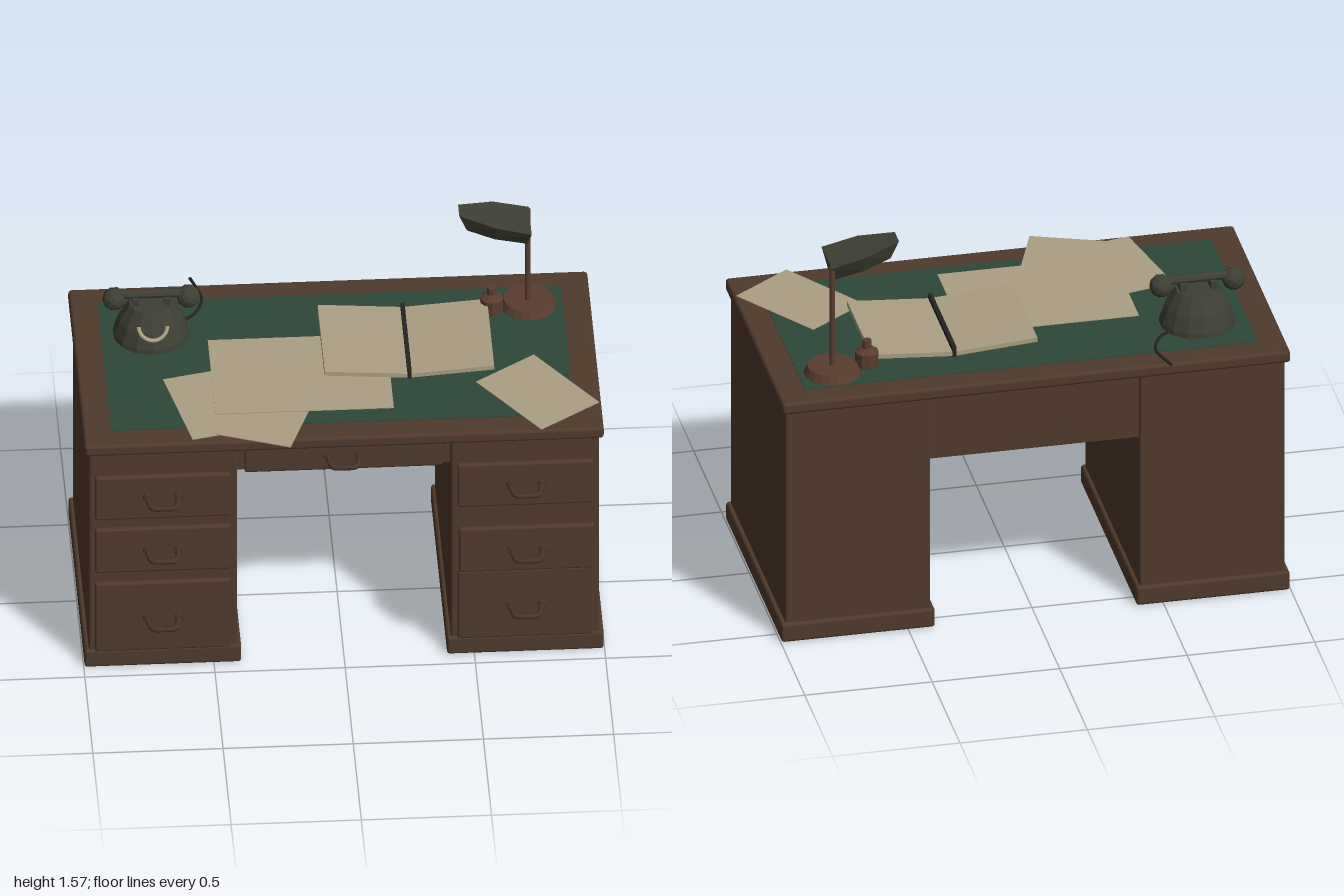
import * as THREE from 'three';
import { RoundedBoxGeometry } from 'three/addons/geometries/RoundedBoxGeometry.js';
import { ConvexGeometry } from 'three/addons/geometries/ConvexGeometry.js';

const material = (name, color, extra = {}) => {
  const m = new THREE.MeshStandardMaterial({ color, ...extra });
  m.name = name;
  return m;
};

export function createModel() {
  const model = new THREE.Group();
  model.name = 'writingDesk';

  const wood = material('wood', 0x503a2c);
  const agedWood = material('agedWood', 0x434438);
  const leather = material('greenLeather', 0x2c4838);
  const paper = material('paper', 0xab9f82);
  const bronze = material('bronze', 0x46352a);
  const copper = material('copper', 0x5a3d2f);
  const enamel = material('oliveEnamel', 0x3e3f34);
  const black = material('black', 0x25241f);
  const cream = material('cream', 0xb0a587);

  const add = (name, geometry, mat, x = 0, y = 0, z = 0, parent = model) => {
    const mesh = new THREE.Mesh(geometry, mat);
    mesh.name = name;
    mesh.position.set(x, y, z);
    parent.add(mesh);
    return mesh;
  };
  // Box given by its extents, with softened edges when r > 0
  const box = (name, mat, [x0, x1], [y0, y1], [z0, z1], r = 0, parent = model) => {
    const size = [x1 - x0, y1 - y0, z1 - z0];
    const geometry = r ? new RoundedBoxGeometry(...size, 2, r) : new THREE.BoxGeometry(...size);
    return add(name, geometry, mat, (x0 + x1) / 2, (y0 + y1) / 2, (z0 + z1) / 2, parent);
  };
  const flat = (geometry) => {
    const g = geometry.index ? geometry.toNonIndexed() : geometry;
    g.computeVertexNormals();
    return g;
  };

  // Desk top with inset writing surface
  box('deskTop', wood, [-0.997, 0.997], [1.0, 1.05], [-0.59, 0.45], 0.014);
  box('writingSurface', leather, [-0.89, 0.89], [1.046, 1.053], [-0.49, 0.35]);

  // Drawer pull: a bowed bar with two mounts
  const pullCurve = new THREE.CatmullRomCurve3(
    [[-0.06, 0], [-0.056, 0.04], [-0.043, 0.078], [0, 0.082], [0.043, 0.078], [0.056, 0.04], [0.06, 0]]
      .map(([x, z]) => new THREE.Vector3(x, 0, z)));
  const pullGeometry = new THREE.TubeGeometry(pullCurve, 24, 0.0105, 8);
  const mountGeometry = new THREE.CylinderGeometry(0.017, 0.017, 0.02, 10).rotateX(Math.PI / 2);
  const addPull = (x, y, z) => {
    const pull = new THREE.Group();
    pull.name = 'drawerPull';
    pull.position.set(x, y, z);
    add('pullBar', pullGeometry, bronze, 0, 0, 0, pull);
    for (const s of [-1, 1]) add('pullMount', mountGeometry, bronze, s * 0.06, 0, 0.008, pull);
    model.add(pull);
  };

  // Pedestals, each with a plinth and three drawers
  const drawers = [[0.70, 0.90, 0.805], [0.45, 0.655, 0.555], [0.08, 0.40, 0.235]];
  for (const s of [-1, 1]) {
    const span = (a, b) => (s > 0 ? [a, b] : [-b, -a]);
    box('pedestal', wood, span(0.41, 0.98), [0.07, 1.005], [-0.56, 0.43], 0.01);
    box('plinth', wood, span(0.395, 0.997), [0, 0.08], [-0.575, 0.44], 0.012);
    drawers.forEach(([y0, y1, pullY], i) => {
      const out = s > 0 && i === 1 ? 0.08 : 0; // one drawer front is pulled out
      box('drawerFront', wood, span(0.435, 0.957), [y0, y1], [0.425 + out, 0.452 + out], 0.01);
      addPull(s * 0.697, pullY, 0.45 + out);
    });
  }

  // Centre drawer and rear modesty panel
  box('centreDrawerBox', wood, [-0.41, 0.41], [0.865, 1.0], [-0.53, 0.375]);
  box('centreDrawerFront', wood, [-0.38, 0.38], [0.86, 0.998], [0.37, 0.395], 0.01);
  addPull(0, 0.925, 0.39);
  box('modestyPanel', wood, [-0.41, 0.41], [0.725, 1.0], [-0.55, -0.525]);
  box('agedPanelFace', agedWood, [-0.395, 0.395], [0.76, 0.865], [-0.527, -0.522]);

  // Loose sheets, stacked slightly above each other
  [
    [-0.48, 0.20, 0.30, 0.41, 0.22, 1.055],
    [-0.281, 0.266, 0.30, 0.41, -0.35, 1.058],
    [-0.142, 0.038, 0.685, 0.485, 0, 1.061],
    [0.757, 0.205, 0.285, 0.40, 0.615, 1.056],
  ].forEach(([x, z, w, d, turn, y]) => {
    add('paperSheet', new THREE.BoxGeometry(w, 0.003, d), paper, x, y, z).rotation.y = turn;
  });

  // Open book with two raised page blocks and a dark spine
  for (const s of [-1, 1]) {
    const pages = add('bookPages', new THREE.BoxGeometry(0.325, 0.018, 0.44), paper, 0.273 + s * 0.164, 1.077, -0.14);
    pages.rotation.z = s * 0.075;
  }
  box('bookSpine', black, [0.265, 0.281], [1.053, 1.094], [-0.362, 0.082]);

  // Telephone
  const phone = new THREE.Group();
  phone.name = 'telephone';
  phone.position.set(-0.697, 1.052, -0.28);
  model.add(phone);
  const bodyProfile = [[0, 0], [0.148, 0], [0.146, 0.02], [0.125, 0.08], [0.085, 0.148], [0, 0.148]]
    .map(([r, y]) => new THREE.Vector2(r, y));
  add('phoneBody', flat(new THREE.LatheGeometry(bodyProfile, 14)), enamel, 0, 0, 0, phone);
  const dial = add('phoneDial', new THREE.TorusGeometry(0.055, 0.008, 6, 20, Math.PI), cream, 0, 0.112, 0.113, phone);
  dial.rotation.set(-0.52, 0, Math.PI);
  dial.rotation.order = 'XYZ';
  for (const s of [-1, 1]) {
    box('handsetCradle', enamel, [s * 0.06 - 0.012, s * 0.06 + 0.012], [0.14, 0.18], [-0.03, 0.03], 0, phone);
    add('handsetEnd', flat(new THREE.IcosahedronGeometry(0.046, 1)), enamel, s * 0.142, 0.17, 0.003, phone);
  }
  add('handsetBar', flat(new THREE.CylinderGeometry(0.018, 0.018, 0.25, 8).rotateZ(Math.PI / 2)),
    enamel, 0, 0.188, 0.003, phone);
  const cordCurve = new THREE.CatmullRomCurve3(
    [[-0.60, -0.33], [-0.53, -0.38], [-0.49, -0.48], [-0.505, -0.55], [-0.527, -0.62]]
      .map(([x, z]) => new THREE.Vector3(x, 1.058, z)));
  add('phoneCord', new THREE.TubeGeometry(cordCurve, 24, 0.006, 6), black);

  // Ink bottle
  const bottleProfile = [[0, 0], [0.046, 0], [0.046, 0.06], [0.018, 0.076], [0.018, 0.108], [0, 0.108]]
    .map(([r, y]) => new THREE.Vector2(r, y));
  add('inkBottle', flat(new THREE.LatheGeometry(bottleProfile, 10)), copper, 0.615, 1.053, -0.35);

  // Desk lamp: disc foot, post and tapered shade
  add('lampFoot', flat(new THREE.CylinderGeometry(0.095, 0.11, 0.032, 20)), copper, 0.757, 1.068, -0.38);
  add('lampPost', new THREE.CylinderGeometry(0.011, 0.011, 0.43, 10), copper, 0.755, 1.29, -0.372);
  const shadeSections = [ // x, y, half width
    [0.76, 1.505, 0.093], [0.745, 1.435, 0.052],
    [0.62, 1.54, 0.088], [0.62, 1.462, 0.052],
    [0.485, 1.567, 0.038], [0.515, 1.49, 0.026],
  ];
  const shadePoints = shadeSections.flatMap(([x, y, w]) =>
    [-1, 1].map((s) => new THREE.Vector3(x, y, -0.295 + s * w)));
  add('lampShade', new ConvexGeometry(shadePoints), enamel);

  return model;
}
